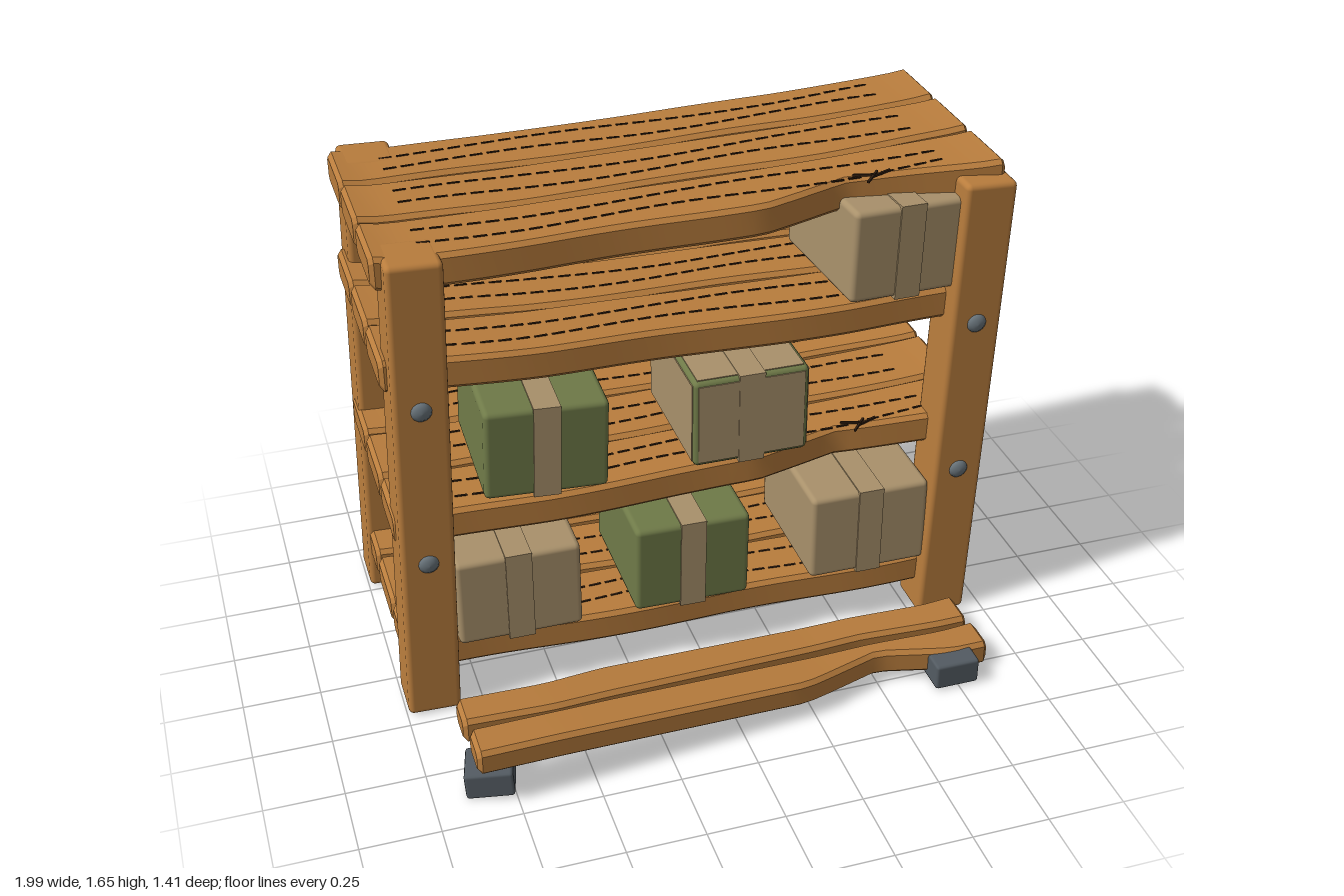
import * as THREE from 'three';
import { mergeGeometries, toCreasedNormals } from 'three/addons/utils/BufferGeometryUtils.js';
import { RoundedBoxGeometry } from 'three/addons/geometries/RoundedBoxGeometry.js';

const flat = (name, color) => {
  const m = new THREE.MeshStandardMaterial({ color });
  m.name = name;
  return m;
};
const wood = flat('wood', 0xb97d3d);
const grainDark = flat('dark grain', 0x2e1c0e);
const cardboard = flat('cardboard', 0xa9916b);
const green = flat('green paint', 0x6f7a48);
const boltGrey = flat('bolt grey', 0x6a757c);
const blockGrey = flat('block grey', 0x535b62);

function add(parent, name, geometry, material, x = 0, y = 0, z = 0) {
  const mesh = new THREE.Mesh(geometry, material);
  mesh.name = name;
  mesh.position.set(x, y, z);
  parent.add(mesh);
  return mesh;
}

// Eased interpolation through [x, value] pairs
function track(points, x) {
  let i = 0;
  while (i < points.length - 2 && x > points[i + 1][0]) i++;
  const [x0, a] = points[i], [x1, b] = points[i + 1];
  return THREE.MathUtils.lerp(a, b, THREE.MathUtils.clamp((x - x0) / (x1 - x0), 0, 1));
}

// Chamfered plank lofted along x; section(x) gives { y0, y1, z0, z1 }
function plankGeometry(xa, xb, section, steps = 36, c = 0.014) {
  const xs = [[xa, c]];
  for (let i = 0; i <= steps; i++) xs.push([THREE.MathUtils.lerp(xa + c, xb - c, i / steps), 0]);
  xs.push([xb, c]);
  const pos = [], index = [];
  for (const [x, inset] of xs) {
    const s = section(x);
    const y0 = s.y0 + inset, y1 = s.y1 - inset, z0 = s.z0 + inset, z1 = s.z1 - inset;
    const ring = [[y1, z0 + c], [y1, z1 - c], [y1 - c, z1], [y0 + c, z1],
      [y0, z1 - c], [y0, z0 + c], [y0 + c, z0], [y1 - c, z0]];
    for (const [y, z] of ring) pos.push(x, y, z);
  }
  const n = xs.length;
  for (let i = 0; i < n - 1; i++) {
    for (let j = 0; j < 8; j++) {
      const a = i * 8 + j, b = i * 8 + (j + 1) % 8;
      index.push(a, b, b + 8, a, b + 8, a + 8);
    }
  }
  const last = (n - 1) * 8;
  for (let j = 1; j < 7; j++) {
    index.push(0, j + 1, j);
    index.push(last, last + j, last + j + 1);
  }
  const g = new THREE.BufferGeometry();
  g.setAttribute('position', new THREE.Float32BufferAttribute(pos, 3));
  g.setIndex(index);
  return toCreasedNormals(g, 0.4);
}

// Height of the centre line of each shelf
const shelfX = [-0.98, -0.9, -0.5, 0, 0.5, 0.9, 0.98];
const shelfY = [
  [0.185, 0.182, 0.172, 0.165, 0.163, 0.165, 0.165],
  [0.675, 0.67, 0.668, 0.675, 0.69, 0.707, 0.714],
  [1.225, 1.215, 1.195, 1.183, 1.178, 1.182, 1.19],
  [1.565, 1.552, 1.552, 1.56, 1.573, 1.593, 1.602],
];
const plankZ = [[-0.635, -0.385], [-0.37, -0.115], [-0.1, 0.152]];
const notch = [[-1, 0], [0.2, 0], [0.48, -0.075], [0.85, -0.02], [1, 0]];

function buildShelf(level) {
  const shelf = new THREE.Group();
  shelf.name = 'shelf' + (level + 1);
  const heights = shelfX.map((x, i) => [x, shelfY[level][i]]);
  const dashes = [];
  plankZ.forEach(([z0, z1], p) => {
    const chipped = p === 2 && level % 2 === 1;
    const wave = x => 0.007 * Math.sin(x * 7 + p * 1.7 + level);
    add(shelf, 'shelfPlank', plankGeometry(-0.98, 0.98, x => {
      const y = track(heights, x);
      return { y0: y - 0.053, y1: y + 0.053, z0: z0 + 0.4 * wave(x),
        z1: z1 + wave(x) + (chipped ? track(notch, x) : 0) };
    }), wood);
    // Two dashed grain lines on top of the plank
    for (const [k, t] of [0.33, 0.66].entries()) {
      const zAt = x => z0 + t * (z1 - z0) + 0.014 * Math.sin(x * (5 + k) + p * 2 + k);
      for (let x = -0.83; x < 0.82; x += 0.055) {
        const dash = new THREE.BoxGeometry(0.04, 0.004, 0.007);
        dash.rotateY(-Math.atan2(zAt(x + 0.04) - zAt(x), 0.04));
        dash.translate(x + 0.02, track(heights, x + 0.02) + 0.054, zAt(x + 0.02));
        dashes.push(dash);
      }
    }
    // Splinters beside the chipped edge
    if (chipped) {
      for (const [x, z, turn] of [[0.56, 0.1, 0.8], [0.59, 0.09, 0.25], [0.54, 0.08, -0.5]]) {
        const splinter = add(shelf, 'splinter', new THREE.BoxGeometry(0.07, 0.007, 0.007),
          grainDark, x, track(heights, x) + 0.058, z);
        splinter.rotation.set(0, turn, 0.12);
      }
    }
  });
  add(shelf, 'woodGrain', mergeGeometries(dashes), grainDark);
  return shelf;
}

// Leaning post with two through bolts
function buildPost(xBottom, xTop, z) {
  const post = new THREE.Group();
  post.name = 'post';
  const beam = add(post, 'postBeam', new RoundedBoxGeometry(0.17, 1.605, 0.17, 2, 0.018),
    wood, (xBottom + xTop) / 2, 0.806, z);
  beam.rotation.z = -Math.atan2(xTop - xBottom, 1.6);
  for (const y of [0.585, 1.13]) {
    const x = xBottom + (xTop - xBottom) * y / 1.6;
    const profile = [[0, -0.1], [0.02, -0.098], [0.032, -0.086], [0.032, 0.086], [0.02, 0.098], [0, 0.1]];
    const bolt = new THREE.LatheGeometry(profile.map(([r, h]) => new THREE.Vector2(r, h)), 16);
    add(post, 'bolt', bolt, boltGrey, x, y, z).rotation.x = Math.PI / 2;
  }
  return post;
}

// Parcel with a tape band around its middle
function buildParcel({ x, y, w, h, color, roll = 0, yaw = 0, panels = false }) {
  const d = 0.475;
  const parcel = new THREE.Group();
  parcel.name = 'parcel';
  add(parcel, 'parcelBody', new RoundedBoxGeometry(w, h, d, 2, 0.018), color);
  add(parcel, 'tape', new THREE.BoxGeometry(0.085, h + 0.01, d + 0.01), cardboard);
  if (panels) {
    add(parcel, 'sidePanels', new THREE.BoxGeometry(w + 0.005, h - 0.03, d - 0.03), cardboard);
    add(parcel, 'topPanels', new THREE.BoxGeometry(w - 0.03, h + 0.005, d - 0.03), cardboard);
    add(parcel, 'frontPanels', new THREE.BoxGeometry(w - 0.03, h - 0.03, d + 0.005), cardboard);
  }
  parcel.position.set(x, y, -0.052);
  parcel.rotation.set(0, yaw, roll);
  return parcel;
}

export function createModel() {
  const model = new THREE.Group();
  model.name = 'storageRack';

  for (const z of [0.125, -0.601]) {
    model.add(buildPost(-0.91, -0.862, z), buildPost(0.855, 0.912, z));
  }
  for (let level = 0; level < 4; level++) model.add(buildShelf(level));

  // Diagonal brace across the back
  const brace = add(model, 'backBrace', new RoundedBoxGeometry(2.24, 0.08, 0.05, 2, 0.012),
    wood, 0.025, 0.83, -0.686);
  brace.rotation.z = Math.atan2(1.39, 1.74);

  const parcels = [
    { x: -0.608, y: 0.383, w: 0.405, h: 0.31, color: cardboard },
    { x: -0.033, y: 0.383, w: 0.385, h: 0.31, color: green, roll: -0.015 },
    { x: 0.582, y: 0.383, w: 0.41, h: 0.31, color: cardboard },
    { x: -0.493, y: 0.905, w: 0.39, h: 0.305, color: green, roll: -0.035, yaw: -0.03 },
    { x: 0.158, y: 0.905, w: 0.38, h: 0.305, color: cardboard && green, panels: true },
    { x: 0.645, y: 1.407, w: 0.385, h: 0.305, color: cardboard, roll: -0.025, yaw: 0.07 },
  ];
  for (const p of parcels) model.add(buildParcel(p));

  // Two loose planks sloping down in front
  const slope = [[-0.88, 0.182], [-0.6, 0.165], [0.3, 0.085], [0.89, 0.051]];
  const loose = [
    { back: [[-0.88, 0.425], [-0.6, 0.41], [-0.4, 0.37], [0.48, 0.28], [0.75, 0.27], [0.87, 0.25]],
      front: [[-0.88, 0.55], [-0.6, 0.54], [-0.4, 0.51], [0.48, 0.4], [0.75, 0.395], [0.87, 0.385]] },
    { back: [[-0.87, 0.575], [-0.6, 0.55], [-0.4, 0.525], [0.5, 0.43], [0.75, 0.42], [0.88, 0.4]],
      front: [[-0.87, 0.705], [-0.6, 0.68], [0.22, 0.595], [0.5, 0.495], [0.75, 0.54], [0.88, 0.53]] },
  ];
  for (const { back, front } of loose) {
    const end = back.length - 1;
    add(model, 'loosePlank', plankGeometry(back[0][0], back[end][0], x => {
      const y = track(slope, x);
      return { y0: y - 0.043, y1: y + 0.046, z0: track(back, x), z1: track(front, x) };
    }), wood);
  }

  // Blocks under the loose planks
  const block = new RoundedBoxGeometry(0.15, 0.09, 0.14, 1, 0.01);
  const leftBlock = add(model, 'supportBlock', block, blockGrey, -0.815, 0.05, 0.59);
  leftBlock.rotation.set(0, -0.25, 0.06);
  add(model, 'supportBlock', block, blockGrey, 0.742, 0.05, 0.53);

  return model;
}
